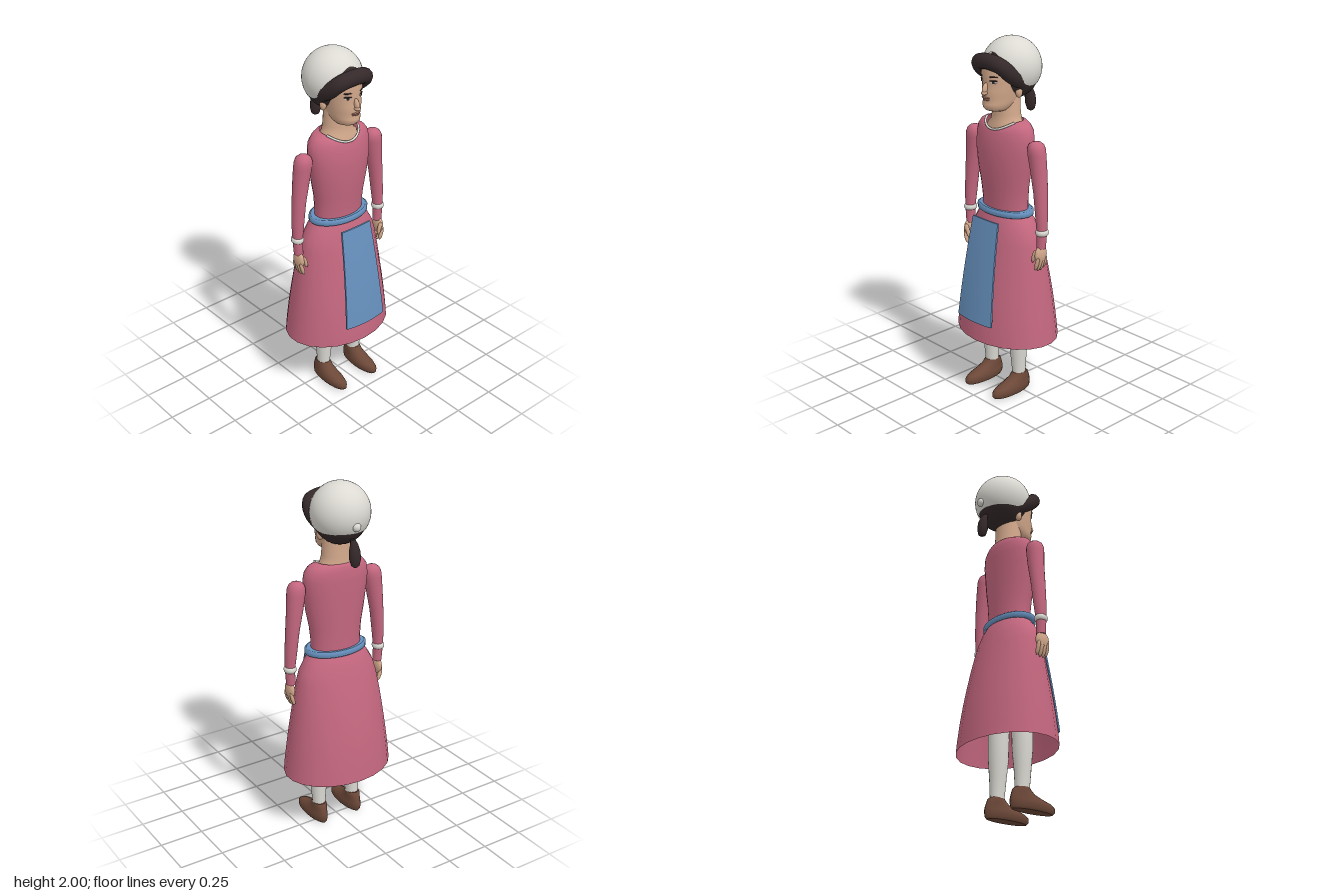
import * as THREE from 'three';

const mat = (name, color, side = THREE.FrontSide) => {
  const m = new THREE.MeshStandardMaterial({ color, side });
  m.name = name;
  return m;
};

// Skin of elliptical rings [y, halfWidth, zFront, zBack, centreX]; rule may move each point
function loft(rings, { n = 28, top = true, bottom = true, rule } = {}) {
  const pos = [], idx = [];
  const ring = ([y, rx, zf, zb, cx = 0]) => {
    const start = pos.length / 3;
    for (let j = 0; j < n; j++) {
      const a = (j / n) * Math.PI * 2;
      const p = new THREE.Vector3(cx + rx * Math.sin(a), y, (zf + zb) / 2 + ((zf - zb) / 2) * Math.cos(a));
      if (rule) rule(p, a);
      pos.push(p.x, p.y, p.z);
    }
    return start;
  };
  const starts = rings.map(ring);
  for (let i = 0; i < rings.length - 1; i++) {
    for (let j = 0; j < n; j++) {
      const k = (j + 1) % n, a = starts[i], b = starts[i + 1];
      idx.push(a + j, a + k, b + k, a + j, b + k, b + j);
    }
  }
  const cap = (r, up) => {
    const s = ring(r), c = pos.length / 3;
    pos.push(r[4] || 0, r[0], (r[2] + r[3]) / 2);
    for (let j = 0; j < n; j++) {
      const k = (j + 1) % n;
      idx.push(c, up ? s + j : s + k, up ? s + k : s + j);
    }
  };
  if (bottom) cap(rings[0], false);
  if (top) cap(rings[rings.length - 1], true);
  const g = new THREE.BufferGeometry();
  g.setAttribute('position', new THREE.Float32BufferAttribute(pos, 3));
  g.setIndex(idx);
  g.computeVertexNormals();
  return g;
}

// Move every vertex of a geometry by a rule
function reshape(g, rule) {
  const p = g.attributes.position, v = new THREE.Vector3();
  for (let i = 0; i < p.count; i++) {
    rule(v.fromBufferAttribute(p, i));
    p.setXYZ(i, v.x, v.y, v.z);
  }
  g.computeVertexNormals();
  return g;
}

const V = (x, y, z) => new THREE.Vector3(x, y, z);
const tube = (pts, r, n = 24) => new THREE.TubeGeometry(new THREE.CatmullRomCurve3(pts), n, r, 12);

export function createModel() {
  const root = new THREE.Group();
  root.name = 'womanInDress';
  const pink = mat('pinkCloth', 0xc4677f, THREE.DoubleSide);
  const blue = mat('blueCloth', 0x6690bd);
  const white = mat('whiteLinen', 0xdcdad3, THREE.DoubleSide);
  const skin = mat('skin', 0xd2a88b);
  const hair = mat('darkHair', 0x35292a);
  const brown = mat('brownLeather', 0x6c4838);
  const lip = mat('lips', 0xb9806e);

  const add = (name, geo, m, parent = root) => {
    const mesh = new THREE.Mesh(geo, m);
    mesh.name = name;
    parent.add(mesh);
    return mesh;
  };
  const ball = (name, m, p, s, parent = root) => {
    const b = add(name, new THREE.SphereGeometry(1, 24, 16), m, parent);
    b.position.set(...p);
    b.scale.set(...s);
    return b;
  };

  // Dress: open skirt, bodice with a dipped neckline, belt
  add('skirt', loft([
    [0.34, 0.32, 0.235, -0.255], [0.4, 0.314, 0.232, -0.25], [0.5, 0.302, 0.221, -0.238],
    [0.6, 0.289, 0.206, -0.222], [0.7, 0.275, 0.187, -0.202], [0.8, 0.26, 0.168, -0.18],
    [0.9, 0.242, 0.148, -0.155], [0.96, 0.225, 0.135, -0.138], [1.02, 0.19, 0.12, -0.12],
    [1.06, 0.155, 0.105, -0.1],
  ], { n: 22, top: false, bottom: false }), pink);
  add('bodice', loft([
    [1.05, 0.148, 0.1, -0.092], [1.12, 0.148, 0.102, -0.092], [1.2, 0.155, 0.11, -0.094],
    [1.3, 0.175, 0.12, -0.098], [1.4, 0.19, 0.123, -0.1], [1.47, 0.195, 0.115, -0.102],
    [1.52, 0.188, 0.106, -0.1], [1.55, 0.165, 0.102, -0.094], [1.563, 0.14, 0.101, -0.088],
    [1.568, 0.11, 0.1, -0.08],
  ], {
    top: false, bottom: false,
    rule: (p, a) => { if (p.y > 1.5) p.y -= 0.68 * (p.y - 1.5) * Math.max(0, Math.cos(a)) ** 2; },
  }), pink);
  add('belt', loft([
    [1.05, 0.172, 0.115, -0.105], [1.056, 0.184, 0.125, -0.114],
    [1.078, 0.184, 0.125, -0.114], [1.085, 0.172, 0.115, -0.105],
  ]), blue);
  const collar = [];
  for (let i = -6; i <= 6; i++) {
    const a = i * 0.21;
    collar.push(V(0.112 * Math.sin(a), 1.571 - 0.046 * Math.cos(a) ** 2, 0.01 + 0.093 * Math.cos(a)));
  }
  add('collarTrim', tube(collar, 0.006), white);

  // Apron: a thin panel widening and swinging forward to the hem
  add('apron', reshape(new THREE.BoxGeometry(2, 1, 0.01, 10, 10, 1), (p) => {
    const t = 0.5 - p.y, u = p.x;
    p.x = u * (0.1 + 0.035 * t);
    p.y = 1.03 - 0.57 * t;
    p.z += 0.153 + 0.125 * t - 0.028 * t * t - u * u * (0.004 + 0.012 * t);
  }), blue);

  // Neck and head
  add('neck', loft([
    [1.49, 0.13, 0.092, -0.075], [1.545, 0.11, 0.082, -0.08], [1.56, 0.093, 0.074, -0.077],
    [1.6, 0.081, 0.07, -0.074], [1.72, 0.075, 0.07, -0.07],
  ]), skin);
  add('head', loft([
    [1.622, 0.04, 0.11, 0.02], [1.63, 0.056, 0.132, 0], [1.645, 0.068, 0.146, -0.03],
    [1.665, 0.076, 0.148, -0.06], [1.682, 0.08, 0.141, -0.07], [1.7, 0.083, 0.148, -0.08],
    [1.74, 0.089, 0.146, -0.08], [1.78, 0.093, 0.14, -0.08], [1.82, 0.096, 0.148, -0.08],
    [1.88, 0.09, 0.14, -0.08],
  ]), skin);

  // Face
  const nose = ball('nose', skin, [0, 1.745, 0.147], [0.013, 0.034, 0.02]);
  nose.rotation.x = -0.25;
  ball('noseTip', skin, [0, 1.726, 0.153], [0.016, 0.012, 0.02]);
  ball('upperLip', lip, [0, 1.699, 0.145], [0.03, 0.005, 0.008]);
  ball('lowerLip', lip, [0, 1.689, 0.142], [0.024, 0.005, 0.009]);
  const facePlate = (name, m, x, y, w, h, lift) => {
    const z = 0.03 + 0.112 * Math.sqrt(1 - (x / 0.094) ** 2);
    const b = ball(name, m, [x, y, z + lift], [w, h, 0.004]);
    b.rotation.y = Math.atan2(x / 0.0088, (z - 0.03) / 0.0125);
  };
  for (const s of [-1, 1]) {
    facePlate('eyeWhite', white, s * 0.045, 1.784, 0.018, 0.007, 0);
    facePlate('iris', hair, s * 0.045, 1.784, 0.008, 0.007, 0.003);
    facePlate('lashes', hair, s * 0.046, 1.792, 0.022, 0.004, 0.003);
    facePlate('eyebrow', hair, s * 0.046, 1.812, 0.024, 0.004, 0.004);
    ball('ear', skin, [s * 0.098, 1.725, 0.0], [0.018, 0.032, 0.02]);
  }

  // Hair: back mass, rolled fringe, ponytail
  ball('backHair', hair, [0, 1.815, -0.045], [0.146, 0.145, 0.135]);
  add('fringe', tube([
    V(-0.095, 1.77, -0.03), V(-0.105, 1.82, 0.06), V(-0.085, 1.868, 0.112), V(-0.04, 1.884, 0.126),
    V(0.04, 1.884, 0.126), V(0.085, 1.868, 0.112), V(0.105, 1.82, 0.06), V(0.095, 1.77, -0.03),
  ], 0.042, 40), hair);
  const tail = add('ponytail', loft([
    [-0.075, 0.008, 0.006, -0.01], [-0.065, 0.022, 0.02, -0.022], [-0.03, 0.032, 0.028, -0.03],
    [0.01, 0.031, 0.027, -0.028], [0.045, 0.022, 0.022, -0.018], [0.07, 0.012, 0.024, -0.002],
  ], { n: 14 }), hair);
  tail.position.set(0, 1.652, -0.175);
  tail.rotation.x = 0.08;

  // Cap: a ball whose rim rises over the forehead
  const cap = add('cap', reshape(new THREE.SphereGeometry(0.16, 48, 28, 0, Math.PI * 2, 0, 1), (p) => {
    const a = Math.abs(Math.atan2(p.x, p.z));
    const k = Math.min(1, a / 1.65);
    const rim = 0.97 + 1.16 * k * k * (3 - 2 * k);
    const t = Math.acos(Math.min(1, p.y / 0.16)) * rim;
    p.set(0.16 * Math.sin(t) * Math.sin(a) * Math.sign(p.x), 0.16 * Math.cos(t), 0.16 * Math.sin(t) * Math.cos(a));
  }), white);
  cap.position.set(0, 1.84, -0.04);
  ball('capButton', white, [0, 1.795, -0.19], [0.024, 0.024, 0.022]);

  // Arms, hands, legs and shoes on both sides
  for (const s of [-1, 1]) {
    const side = s > 0 ? 'left' : 'right';
    const limb = (rings) => loft(rings.map(([y, rx, zf, zb, cx]) => [y, rx, zf, zb, cx * s]), { n: 20 });
    add(side + 'Sleeve', limb([
      [0.91, 0.025, 0.036, -0.016, 0.284], [1.0, 0.027, 0.038, -0.02, 0.288], [1.1, 0.033, 0.043, -0.03, 0.282],
      [1.22, 0.037, 0.046, -0.036, 0.271], [1.34, 0.046, 0.05, -0.04, 0.254], [1.42, 0.051, 0.057, -0.04, 0.244],
      [1.45, 0.05, 0.058, -0.039, 0.241], [1.472, 0.041, 0.05, -0.031, 0.24], [1.484, 0.026, 0.036, -0.017, 0.24],
      [1.488, 0.01, 0.02, 0, 0.24],
    ]), pink);
    const cuff = add(side + 'Cuff', new THREE.TorusGeometry(0.025, 0.011, 10, 24), white);
    cuff.rotation.x = Math.PI / 2;
    cuff.scale.set(0.95, 1.05, 1.5);
    cuff.position.set(s * 0.288, 1, 0.008);

    const hand = new THREE.Group();
    hand.name = side + 'Hand';
    root.add(hand);
    ball('palm', skin, [s * 0.287, 0.876, 0.015], [0.02, 0.05, 0.041], hand);
    for (let i = 0; i < 4; i++) {
      const f = ball('finger', skin, [s * 0.288, 0.828 - (i % 3 ? 0.008 : 0), -0.013 + i * 0.019], [0.011, 0.04, 0.011], hand);
      f.rotation.z = -s * 0.3;
    }
    const thumb = ball('thumb', skin, [s * 0.269, 0.868, 0.048], [0.011, 0.038, 0.012], hand);
    thumb.rotation.z = -s * 0.25;

    add(side + 'Stocking', limb([
      [0.06, 0.036, 0.045, -0.035, 0.114], [0.12, 0.037, 0.046, -0.033, 0.113], [0.22, 0.046, 0.055, -0.036, 0.112],
      [0.32, 0.056, 0.065, -0.043, 0.11], [0.42, 0.058, 0.067, -0.045, 0.109], [0.7, 0.062, 0.07, -0.05, 0.1],
    ]), white);
    add(side + 'Shoe', limb([
      [0, 0.038, 0.19, -0.058, 0.115], [0.012, 0.047, 0.204, -0.067, 0.115], [0.035, 0.05, 0.204, -0.07, 0.115],
      [0.05, 0.047, 0.185, -0.069, 0.115], [0.065, 0.043, 0.135, -0.065, 0.115], [0.085, 0.04, 0.08, -0.058, 0.114],
      [0.105, 0.04, 0.055, -0.05, 0.114], [0.115, 0.037, 0.048, -0.04, 0.114],
    ]), brown);
  }
  return root;
}
